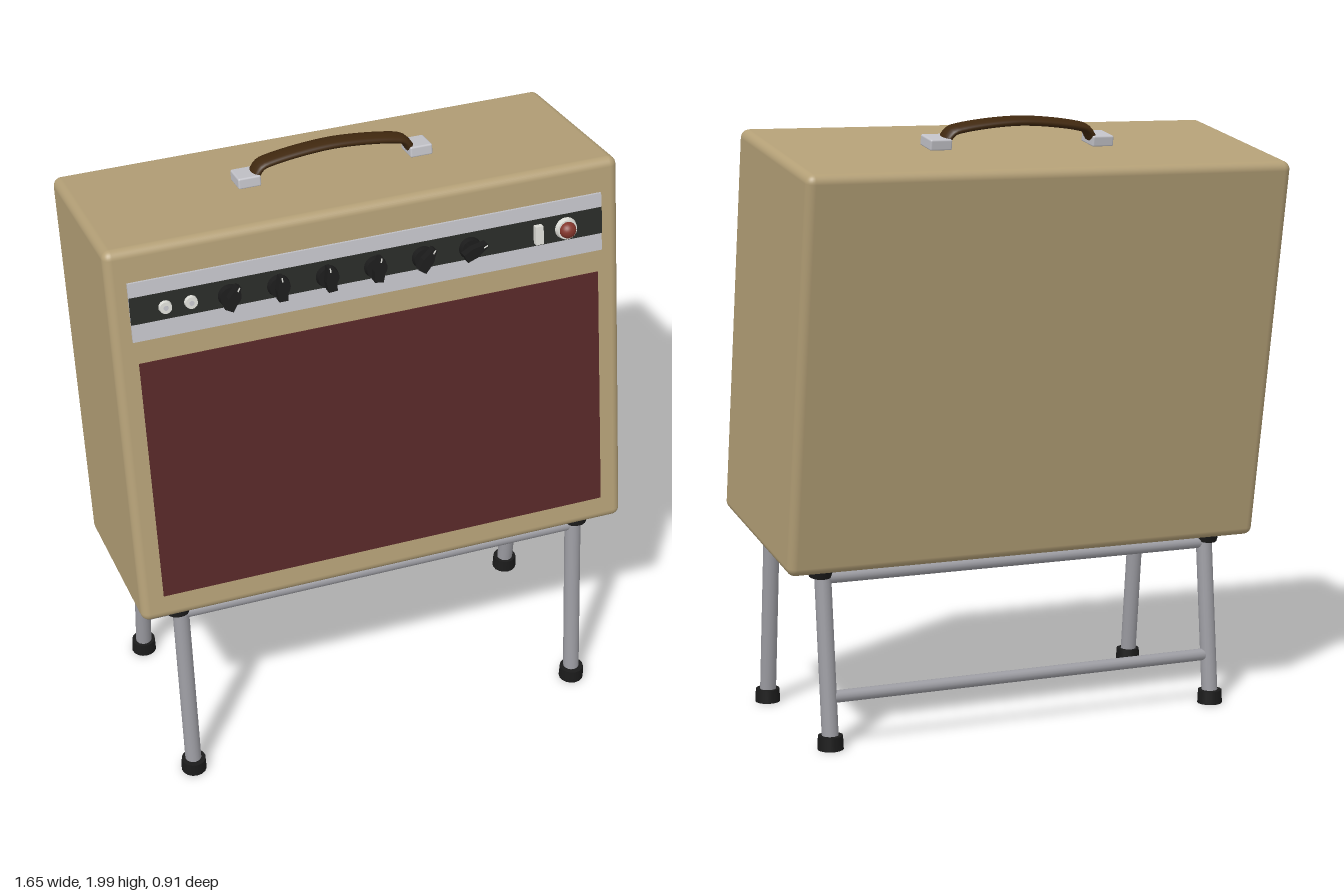
import * as THREE from 'three';
import { RoundedBoxGeometry } from 'three/addons/geometries/RoundedBoxGeometry.js';

const mat = (name, color) => {
  const m = new THREE.MeshStandardMaterial({ color });
  m.name = name;
  return m;
};

export function createModel() {
  const tan = mat('tan covering', 0xb39f76);
  const red = mat('oxblood cloth', 0x562727);
  const silver = mat('silver plate', 0xc2c2c8);
  const charcoal = mat('charcoal band', 0x292b27);
  const black = mat('black rubber', 0x1b1b1b);
  const brown = mat('brown leather', 0x40280f);
  const steel = mat('steel tube', 0x9c9ca2);
  const white = mat('pale metal', 0xdcdcd6);
  const ruby = mat('ruby jewel', 0x84362c);

  const model = new THREE.Group();
  model.name = 'amplifierOnStand';
  const add = (parent, name, geo, material, x = 0, y = 0, z = 0) => {
    const mesh = new THREE.Mesh(geo, material);
    mesh.name = name;
    mesh.position.set(x, y, z);
    parent.add(mesh);
    return mesh;
  };
  const box = (w, h, d) => new THREE.BoxGeometry(w, h, d);
  // cylinder whose axis points to the front
  const dial = (r0, r1, h, n = 20) => new THREE.CylinderGeometry(r1, r0, h, n).rotateX(Math.PI / 2);

  // Cabinet, leaning back ten degrees
  const W = 1.65, H = 1.285, D = 0.66, front = D / 2, top = H / 2;
  const cabinet = new THREE.Group();
  cabinet.name = 'cabinet';
  cabinet.position.set(0, 1.26, -0.02);
  cabinet.rotation.x = -Math.PI / 18;
  model.add(cabinet);
  add(cabinet, 'cabinetBody', new RoundedBoxGeometry(W, H, D, 4, 0.028), tan);
  add(cabinet, 'speakerCloth', box(1.5, 0.822, 0.008), red, 0, -0.144, front + 0.001);

  // Control panel
  const py = 0.44;
  add(cabinet, 'controlPlate', box(1.525, 0.193, 0.009), silver, 0, py, front + 0.004);
  add(cabinet, 'controlBand', box(1.525, 0.088, 0.006), charcoal, 0, 0.446, front + 0.008);
  const face = front + 0.011;
  for (const x of [-0.655, -0.575]) {
    add(cabinet, 'inputJack', dial(0.021, 0.019, 0.012), white, x, py + 0.003, face + 0.006);
    add(cabinet, 'jackHole', dial(0.008, 0.008, 0.002), silver, x, py + 0.003, face + 0.0125);
  }

  // Pointer knobs, each turned differently
  [-28, 0, 4, -8, -35, -65].forEach((deg, i) => {
    const knob = new THREE.Group();
    knob.name = 'knob';
    knob.position.set(-0.455 + i * 0.155, py, face);
    knob.rotation.z = THREE.MathUtils.degToRad(deg);
    cabinet.add(knob);
    add(knob, 'knobSkirt', dial(0.036, 0.033, 0.02), black, 0, 0, 0.01);
    const s = new THREE.Shape([[-0.014, -0.034], [0.014, -0.034], [0.017, 0], [0.006, 0.046], [-0.006, 0.046], [-0.017, 0]]
      .map(p => new THREE.Vector2(...p)));
    add(knob, 'knobPointer', new THREE.ExtrudeGeometry(s, { depth: 0.03, bevelEnabled: false }), black, 0, 0, 0.018);
    add(knob, 'knobMark', box(0.004, 0.014, 0.003), white, 0, 0.038, 0.0485);
  });

  // Power switch and pilot lamp
  add(cabinet, 'powerSwitch', box(0.026, 0.06, 0.022), white, 0.545, py + 0.003, face + 0.009);
  add(cabinet, 'lampBezel', dial(0.036, 0.032, 0.016, 24), white, 0.64, py + 0.003, face + 0.008);
  const jewel = new THREE.SphereGeometry(0.027, 20, 8, 0, Math.PI * 2, 0, Math.PI / 2).rotateX(Math.PI / 2);
  add(cabinet, 'lampJewel', jewel, ruby, 0.64, py + 0.003, face + 0.015);

  // Carrying handle
  const path = new THREE.CatmullRomCurve3([[-0.262, 0.012], [-0.235, 0.05], [-0.2, 0.061], [0, 0.08], [0.2, 0.061], [0.235, 0.05], [0.262, 0.012]]
    .map(([x, y]) => new THREE.Vector3(x, y, 0)));
  add(cabinet, 'handleStrap', new THREE.TubeGeometry(path, 48, 0.0145, 16).scale(1, 1, 2.7), brown, 0, top, 0);
  for (const s of [-1, 1]) {
    add(cabinet, 'handleBracket', new RoundedBoxGeometry(0.074, 0.036, 0.09, 2, 0.006), silver, s * 0.282, top + 0.016, 0);
    // Pads between cabinet and stand
    for (const z of [-0.25, 0.252])
      add(cabinet, 'restPad', new THREE.CylinderGeometry(0.042, 0.036, 0.034, 16), black, s * 0.692, -top - 0.015, z);
  }

  // Tubular stand
  const stand = new THREE.Group();
  stand.name = 'stand';
  model.add(stand);
  const tube = (name, a, b, r) => {
    const p = new THREE.Vector3(...a), q = new THREE.Vector3(...b), d = q.clone().sub(p);
    const m = add(stand, name, new THREE.CylinderGeometry(r, r, d.length(), 16), steel);
    m.position.copy(p).add(q).multiplyScalar(0.5);
    m.quaternion.setFromUnitVectors(new THREE.Vector3(0, 1, 0), d.normalize());
  };
  const X = 0.683;
  const frontTop = [0.632, 0.345], backTop = [0.545, -0.15];
  for (const s of [-1, 1]) {
    const x = s * X;
    tube('frontLeg', [x, 0.02, 0.413], [x, ...frontTop], 0.027);
    tube('backLeg', [x, 0.02, -0.205], [x, ...backTop], 0.027);
    tube('sideRail', [x, ...frontTop], [x, ...backTop], 0.02);
    for (const [y, z] of [frontTop, backTop])
      add(stand, 'cornerJoint', new THREE.SphereGeometry(0.027, 16, 12), steel, x, y, z);
    for (const z of [0.415, -0.205])
      add(stand, 'foot', new THREE.CylinderGeometry(0.04, 0.042, 0.045, 16), black, x, 0.0225, z);
  }
  tube('frontRail', [-X, ...frontTop], [X, ...frontTop], 0.02);
  tube('backRail', [-X, ...backTop], [X, ...backTop], 0.02);
  tube('lowerBackRail', [-X, 0.165, -0.19], [X, 0.165, -0.19], 0.02);

  return model;
}
